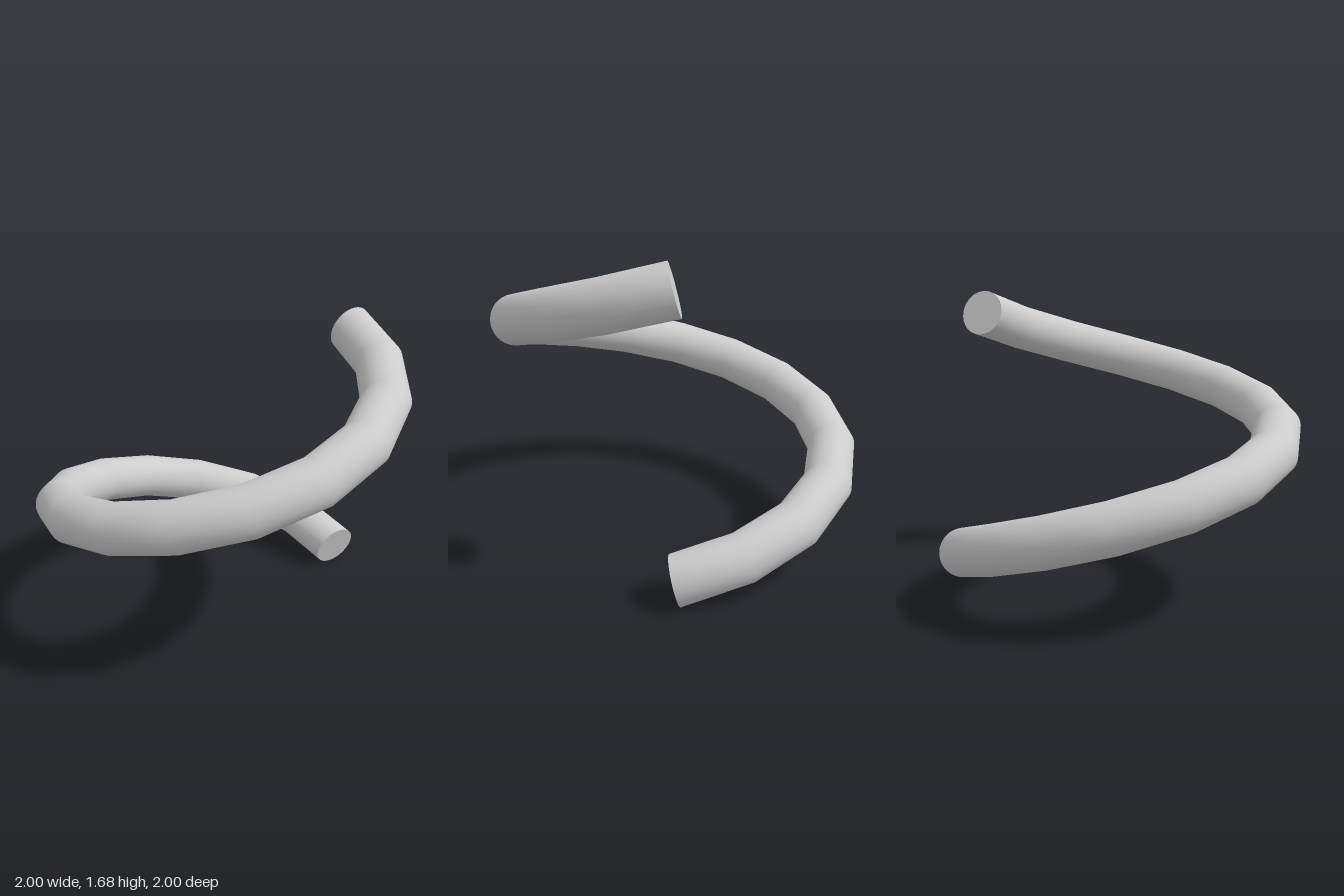
import * as THREE from 'three';

const RADIUS = 0.87, TUBE = 0.13, BASE = 0.126, RISE = 1.43;
const SEGMENTS = 16, SIDES = 32;

// One turn of a rising helix
class Helix extends THREE.Curve {
  getPoint(t, target = new THREE.Vector3()) {
    const a = t * Math.PI * 2;
    return target.set(RADIUS * Math.cos(a), BASE + RISE * t, -RADIUS * Math.sin(a));
  }
  getTangent(t, target = new THREE.Vector3()) {
    const a = t * Math.PI * 2, c = RADIUS * Math.PI * 2;
    return target.set(-c * Math.sin(a), RISE, -c * Math.cos(a)).normalize();
  }
}

export function createModel() {
  const group = new THREE.Group();
  group.name = 'springCoil';
  const material = new THREE.MeshStandardMaterial({ color: 0xcccccc });
  const path = new Helix();

  // Round wire, smooth around and faceted in 16 steps along the turn
  const coil = new THREE.Mesh(new THREE.TubeGeometry(path, SEGMENTS, TUBE, SIDES, false), material);
  coil.name = 'coil';
  group.add(coil);

  // Flat caps square to the wire, facing outward
  const addCap = (name, t, sign) => {
    const cap = new THREE.Mesh(new THREE.CircleGeometry(TUBE, SIDES), material);
    cap.name = name;
    cap.position.copy(path.getPoint(t));
    cap.quaternion.setFromUnitVectors(new THREE.Vector3(0, 0, 1), path.getTangent(t).multiplyScalar(sign));
    group.add(cap);
  };
  addCap('lowerCap', 0, -1);
  addCap('upperCap', 1, 1);

  return group;
}
